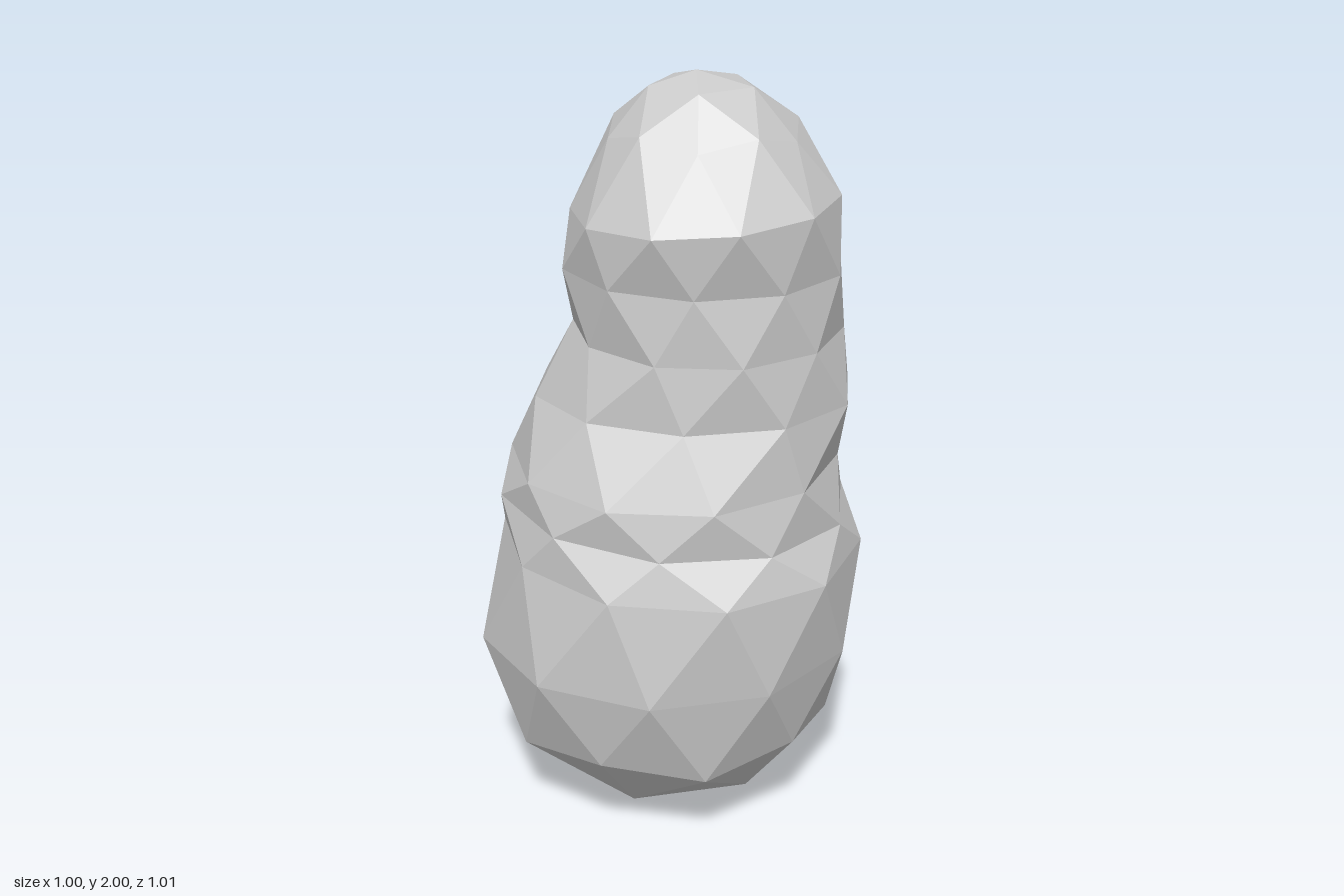
import * as THREE from 'three';

const SIDES = 10;
const STEP = Math.PI / 5;

// Ring rows from bottom to top: height, centre x, half width, centre z, half depth, zigzag in y, slope along x
const ROWS = [
  [0.26, -0.02, 0.44, 0.0, 0.415, 0.018, 0],
  [0.5, -0.02, 0.48, 0.0, 0.505, 0, 0],
  [0.77, 0.022, 0.478, 0.0, 0.472, 0, -0.03],
  [0.88, 0.0, 0.442, -0.02, 0.465, 0, -0.06],
  [1.0, 0.0, 0.43, 0.0, 0.42, 0, 0],
  [1.18, 0.052, 0.398, 0.0, 0.353, 0, 0],
  [1.35, 0.087, 0.348, -0.008, 0.343, 0, 0],
  [1.52, 0.075, 0.345, 0.0, 0.342, 0, 0],
  [1.68, 0.08, 0.338, 0.03, 0.328, 0, 0.07],
  [1.86, 0.075, 0.23, 0.005, 0.225, -0.015, 0],
];

// Ten-sided ring; each row is turned back by half a side
function ring([y, cx, rx, cz, rz, zigzag, slope], row) {
  const phase = Math.PI - row * STEP / 2;
  const fit = Math.cos(STEP / 2);
  const ax = row % 2 ? rx / fit : rx;
  const az = row % 2 ? rz : rz / fit;
  return Array.from({ length: SIDES }, (_, j) => {
    const a = phase + j * STEP;
    const x = Math.cos(a) * ax;
    return new THREE.Vector3(cx + x, y + zigzag * (j % 2 ? -1 : 1) + slope * x, cz + Math.sin(a) * az);
  });
}

// Five-point ring near a pole, each point listed twice so it joins a ten-sided ring
function capRing(y, cx, r, phase, shift) {
  return Array.from({ length: SIDES }, (_, j) => {
    const a = phase + Math.floor((j + shift) / 2) * STEP * 2;
    return new THREE.Vector3(cx + Math.cos(a) * r, y, Math.sin(a) * r);
  });
}

const pole = (x, y) => Array.from({ length: SIDES }, () => new THREE.Vector3(x, y, 0));

function loft(rows) {
  const points = [];
  const add = (a, b, c) => {
    const area = b.clone().sub(a).cross(c.clone().sub(a)).length();
    if (area > 1e-6) points.push(a, b, c);
  };
  for (let i = 0; i < rows.length - 1; i++) {
    const lower = rows[i], upper = rows[i + 1];
    for (let j = 0; j < SIDES; j++) {
      const k = (j + 1) % SIDES;
      add(lower[j], upper[k], lower[k]);
      add(lower[j], upper[j], upper[k]);
    }
  }
  const geometry = new THREE.BufferGeometry().setFromPoints(points);
  geometry.computeVertexNormals();
  return geometry;
}

export function createModel() {
  const group = new THREE.Group();
  group.name = 'facetedRock';
  const topPhase = Math.PI - (ROWS.length - 1) * STEP / 2;

  // Faceted pillar with a round foot, a narrowing waist and a domed head
  const rows = [
    pole(0, 0),
    capRing(0.075, -0.005, 0.265, Math.PI, 1),
    ...ROWS.map(ring),
    capRing(1.968, 0.07, 0.135, topPhase, 0),
    pole(0.055, 2),
  ];
  const body = new THREE.Mesh(
    loft(rows),
    new THREE.MeshStandardMaterial({ color: 0xcccccc, flatShading: true })
  );
  body.name = 'rockBody';
  group.add(body);
  return group;
}
